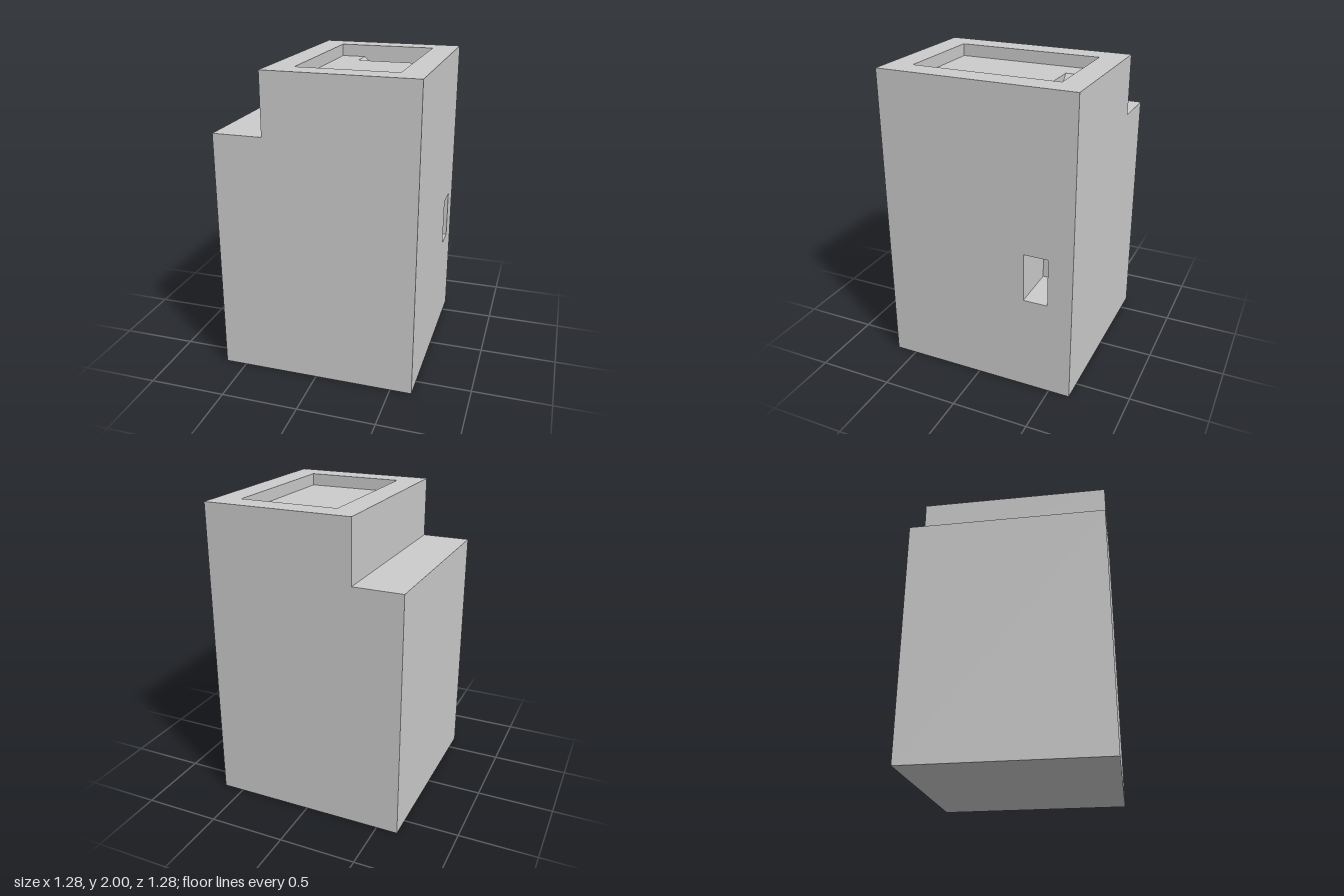
import * as THREE from 'three';

const material = new THREE.MeshStandardMaterial({ color: 0xcccccc, flatShading: true });
const V = (x, y, z) => new THREE.Vector3(x, y, z);
const pts = (list) => list.map(([a, b]) => new THREE.Vector2(a, b));
const rect = (a0, b0, a1, b1) => [[a0, b0], [a1, b0], [a1, b1], [a0, b1]];

// In-plane axes for each facing direction (u cross v = outward normal)
const X = V(1, 0, 0), Y = V(0, 1, 0), Z = V(0, 0, 1);
const nX = V(-1, 0, 0), nZ = V(0, 0, -1);
const AXES = {
  front: [X, Y], back: [nX, Y], right: [nZ, Y], left: [Z, Y], up: [X, nZ], down: [X, Z],
  slope: [V(1, -1, 0).normalize(), nZ],
};

export function createModel() {
  const model = new THREE.Group();
  model.name = 'steppedBlock';

  // Flat polygon given in (u, v) of its facing direction, with optional hole
  function panel(name, facing, origin, outline, hole) {
    const shape = new THREE.Shape(pts(outline));
    if (hole) shape.holes.push(new THREE.Path(pts(hole)));
    const [u, v] = AXES[facing];
    const n = u.clone().cross(v);
    const geometry = new THREE.ShapeGeometry(shape);
    geometry.applyMatrix4(new THREE.Matrix4().makeBasis(u, v, n).setPosition(origin));
    const mesh = new THREE.Mesh(geometry, material);
    mesh.name = name;
    model.add(mesh);
  }
  const mirror = (outline) => outline.map(([a, b]) => [-a, b]);

  const H = 0.64;                                    // half width and depth
  const step = -0.32, ledge = 1.6, top = 2;          // stepped left-hand side
  const r0 = -0.16, r1 = 0.48, rz = 0.48, floor = 1.92; // tray in the top
  const s0 = 0.32, sz = 0.32, low = 0.64, high = 0.96;  // shaft and side opening

  // Outer body
  const profile = [[-H, 0], [H, 0], [H, top], [step, top], [step, ledge], [-H, ledge]];
  panel('frontWall', 'front', V(0, 0, H), profile);
  panel('backWall', 'back', V(0, 0, -H), mirror(profile));
  panel('sideWallWithOpening', 'right', V(H, 0, 0), rect(-H, 0, H, top), rect(sz, low, rz, high));
  panel('lowSideWall', 'left', V(-H, 0, 0), rect(-H, 0, H, ledge));
  panel('stepRiser', 'left', V(step, 0, 0), rect(-H, ledge, H, top));
  panel('stepLedge', 'up', V(0, ledge, 0), rect(-H, -H, step, H));
  panel('base', 'down', V(0, 0, 0), rect(-H, -H, H, H));
  panel('topRim', 'up', V(0, top, 0), rect(step, -H, H, H), rect(r0, -rz, r1, rz));

  // Shallow tray, its floor notched at the back for the shaft
  panel('trayFloor', 'up', V(0, floor, 0),
    [[r0, -rz], [r1, -rz], [r1, sz], [0, sz], [0, rz], [r0, rz]]);
  panel('trayInnerSide', 'right', V(r0, 0, 0), rect(-rz, floor, rz, top));
  panel('trayFrontSide', 'back', V(0, 0, rz), rect(-r1, floor, -r0, top));
  panel('trayAndShaftOuterSide', 'left', V(r1, 0, 0),
    [[-rz, high], [-sz, high], [-sz, floor], [rz, floor], [rz, top], [-rz, top]]);

  // Chute: ramp, vertical shaft, then outlet through the side wall
  const chute = [[0, floor], [s0, ledge], [s0, low], [H, low], [H, high], [r1, high]];
  panel('chuteBackSide', 'front', V(0, 0, -rz), [[r0, top], [r0, floor], ...chute, [r1, top]]);
  panel('chuteFrontSide', 'back', V(0, 0, -sz), mirror([...chute, [r1, floor]]));
  panel('chuteRamp', 'slope', V(0, floor, 0), rect(0, sz, Math.hypot(s0, floor - ledge), rz));
  panel('shaftInnerSide', 'right', V(s0, 0, 0), rect(sz, low, rz, ledge));
  panel('outletFloor', 'up', V(0, low, 0), rect(s0, sz, H, rz));
  panel('outletCeiling', 'down', V(0, high, 0), rect(r1, -rz, H, -sz));

  return model;
}
